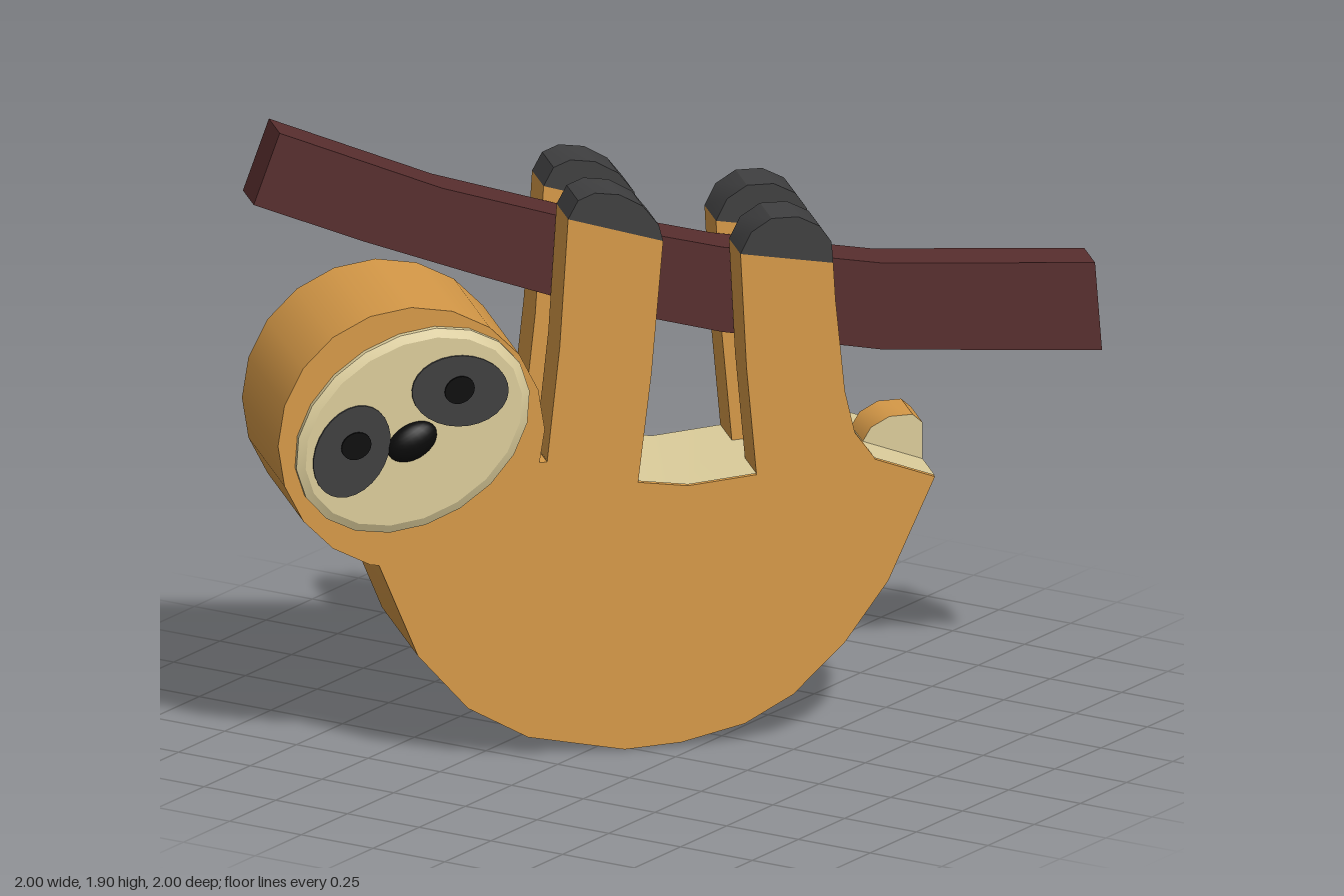
import * as THREE from 'three';
import { toCreasedNormals } from 'three/addons/utils/BufferGeometryUtils.js';

const mat = (name, color) => {
  const m = new THREE.MeshStandardMaterial({ color });
  m.name = name;
  return m;
};

export function createModel() {
  const fur = mat('brown fur', 0xd79a48);
  const cream = mat('cream', 0xdccd9b);
  const dark = mat('charcoal', 0x3f3f40);
  const black = mat('black', 0x0b0b0b);
  const wood = mat('dark wood', 0x582e2e);

  // The whole figure is designed along x and turned 45 degrees at the end
  const model = new THREE.Group();
  model.name = 'hangingSloth';
  const add = (name, geometry, material) => {
    const mesh = new THREE.Mesh(geometry, material);
    mesh.name = name;
    model.add(mesh);
    return mesh;
  };
  // Side profile extruded between two depths
  const slab = (name, points, z0, z1, material) => {
    const shape = new THREE.Shape(points.map(([x, y]) => new THREE.Vector2(x, y)));
    const g = new THREE.ExtrudeGeometry(shape, { depth: z1 - z0, bevelEnabled: false });
    g.translate(0, 0, z0);
    return add(name, toCreasedNormals(g, 0.55), material);
  };
  const ellipse = (x, y, a, b, tilt) =>
    new THREE.Shape().absellipse(x, y, a, b, 0, Math.PI * 2, false, tilt);
  const disc = (name, x, y, a, b, tilt, z, material) => {
    const g = new THREE.ExtrudeGeometry(ellipse(x, y, a, b, tilt),
      { depth: 0.009, bevelEnabled: false, curveSegments: 14 });
    g.translate(0, 0, z);
    add(name, toCreasedNormals(g, 0.55), material);
  };

  // Body with its upper contour
  const floor = [[-0.363, 0.9], [-0.09, 0.82], [0.06, 0.8], [0.26, 0.82], [0.62, 0.845], [0.8, 0.78]];
  slab('body', [
    [-0.875, 0.635], [-0.75, 0.33], [-0.6, 0.16], [-0.42, 0.06], [-0.13, 0.004], [0.04, 0.015],
    [0.23, 0.06], [0.375, 0.14], [0.53, 0.29], [0.66, 0.47],
    ...floor.slice().reverse(), [-0.6, 0.9],
  ], -0.25, 0.25, fur);

  // Cream belly and rump skin laid on the upper contour
  const skin = new THREE.PlaneGeometry(1, 0.5, floor.length - 1, 1).rotateX(-Math.PI / 2);
  const p = skin.attributes.position;
  for (let i = 0; i < p.count; i++) {
    const [x, y] = floor[i % floor.length];
    p.setX(i, x);
    p.setY(i, y + 0.004);
  }
  skin.computeVertexNormals();
  add('bellySkin', skin, cream);

  // Head
  const head = new THREE.CylinderGeometry(0.4, 0.4, 0.5, 20).rotateX(Math.PI / 2);
  head.translate(-0.77, 1, 0);
  add('head', head, fur);

  // Arms, legs and their dark paws, mirrored in depth
  const arm = [[-0.363, 0.9], [-0.36, 0.76], [-0.1, 0.76], [-0.09, 0.82], [-0.05, 1.15],
    [-0.015, 1.555], [-0.3, 1.64], [-0.325, 1.25]];
  const armPaw = [[-0.3, 1.64], [-0.015, 1.555], [-0.028, 1.605], [-0.075, 1.665], [-0.145, 1.705],
    [-0.22, 1.715], [-0.27, 1.695]];
  const leg = [[0.217, 1.5], [0.235, 1.15], [0.265, 0.82], [0.275, 0.76], [0.62, 0.76], [0.62, 0.848],
    [0.56, 0.93], [0.53, 1.06], [0.502, 1.34], [0.495, 1.455]];
  const legPaw = [[0.217, 1.5], [0.495, 1.455], [0.49, 1.52], [0.455, 1.57], [0.39, 1.603],
    [0.31, 1.603], [0.25, 1.565]];
  for (const [side, z0, z1] of [['left', 0.09, 0.25], ['right', -0.25, -0.09]]) {
    slab(side + 'Arm', arm, z0, z1, fur);
    slab(side + 'ArmPaw', armPaw, z0, z1, dark);
    slab(side + 'Leg', leg, z0, z1, fur);
    slab(side + 'LegPaw', legPaw, z0, z1, dark);
  }

  // Stubby tail: cream flanks, brown top and end
  slab('tail', [[0.6, 0.78], [0.8, 0.775], [0.8, 0.895], [0.77, 0.922], [0.7, 0.92], [0.645, 0.89], [0.615, 0.84]],
    -0.08, 0.08, [cream, fur]);

  // Branch
  slab('branch', [
    [-1.205, 1.69], [-0.87, 1.555], [-0.53, 1.43], [-0.2, 1.315], [0.2, 1.21], [0.68, 1.125], [1.339, 1.08],
    [1.318, 1.35], [0.68, 1.39], [0.2, 1.47], [-0.2, 1.57], [-0.64, 1.705], [-1.127, 1.905],
  ], -0.075, 0.075, wood);

  // Face mask with a bevelled rim
  const tilt = Math.PI / 6;
  const mask = new THREE.ExtrudeGeometry(ellipse(-0.77, 1.03, 0.345, 0.26, tilt), {
    depth: 0.02, bevelThickness: 0.012, bevelSize: 0.025, bevelSegments: 1, curveSegments: 10,
  });
  mask.translate(0, 0, 0.252);
  add('faceMask', toCreasedNormals(mask, 0.4), cream);

  // Eye patches and pupils
  disc('rightEyePatch', -0.957, 0.982, 0.145, 0.108, tilt + 0.6, 0.283, dark);
  disc('leftEyePatch', -0.632, 1.147, 0.145, 0.108, tilt - 0.6, 0.283, dark);
  disc('rightPupil', -0.945, 1.0, 0.046, 0.04, tilt, 0.29, black);
  disc('leftPupil', -0.635, 1.152, 0.046, 0.04, tilt, 0.29, black);

  // Nose
  const nose = add('nose', new THREE.SphereGeometry(1, 20, 14), black);
  nose.scale.set(0.08, 0.054, 0.04);
  nose.rotation.z = tilt;
  nose.position.set(-0.775, 1.0, 0.283);

  model.rotation.y = Math.PI / 4;
  const root = new THREE.Group();
  root.name = 'model';
  root.add(model);
  return root;
}
